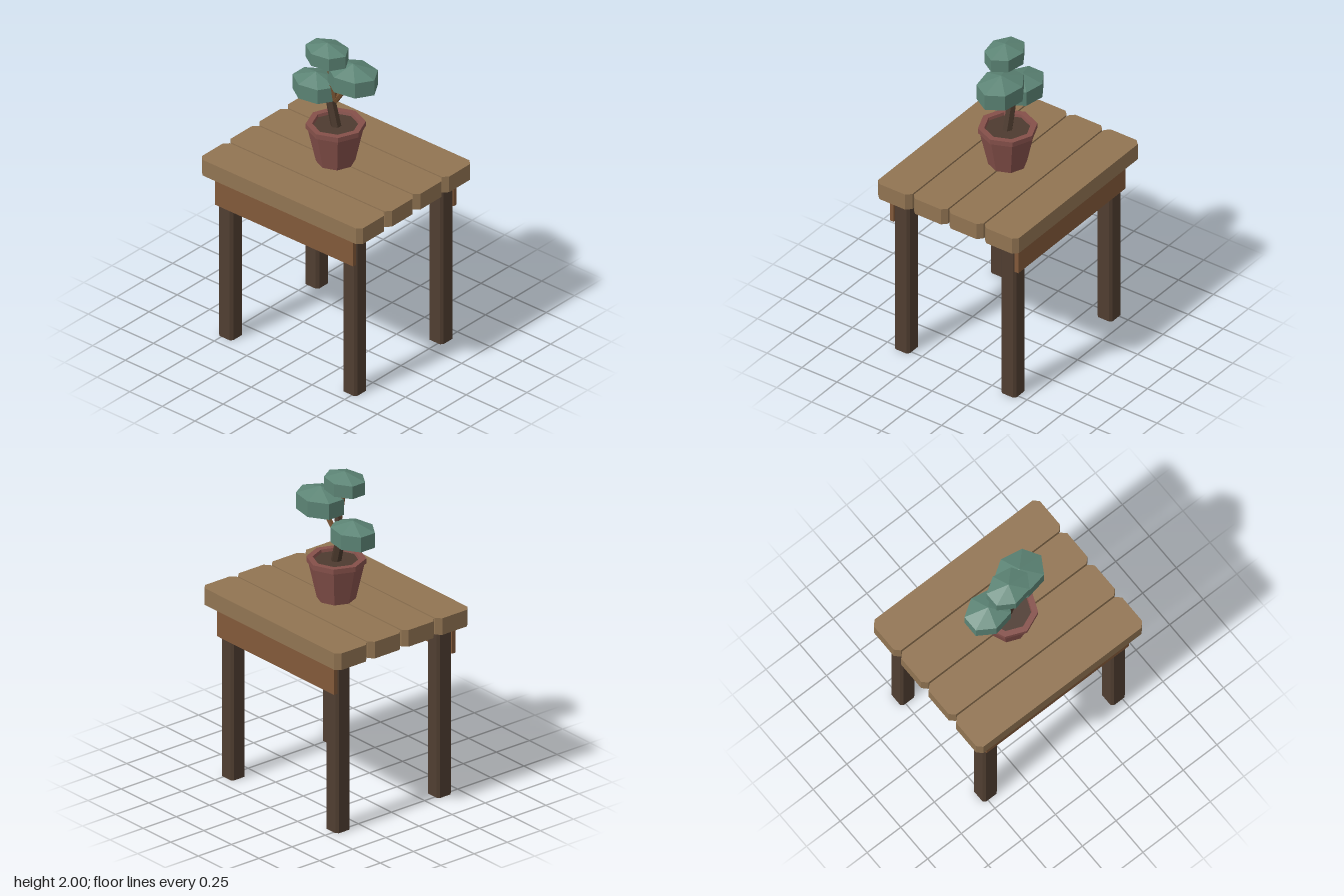
import * as THREE from 'three';

const mat = (color, side = THREE.FrontSide) =>
  new THREE.MeshStandardMaterial({ color, flatShading: true, side });

const plankMat = mat(0x917452);
const apronMat = mat(0x82593a);
const legMat = mat(0x503e31);
const potMat = mat(0x85504a);
const soilMat = mat(0x4e3b30);
const trunkMat = mat(0x4a382c);
const branchMat = mat(0x75502f);
const leafMat = mat(0x5c8475);

function add(parent, name, geometry, material, x = 0, y = 0, z = 0) {
  const mesh = new THREE.Mesh(geometry, material);
  mesh.name = name;
  mesh.position.set(x, y, z);
  parent.add(mesh);
  return mesh;
}

// Upright block with its four vertical edges cut off; base at y = 0
function chamferedBlock(width, height, depth, cut) {
  const w = width / 2, d = depth / 2;
  const shape = new THREE.Shape([
    [-w + cut, -d], [w - cut, -d], [w, -d + cut], [w, d - cut],
    [w - cut, d], [-w + cut, d], [-w, d - cut], [-w, -d + cut],
  ].map(([x, y]) => new THREE.Vector2(x, y)));
  return new THREE.ExtrudeGeometry(shape, { depth: height, bevelEnabled: false })
    .rotateX(-Math.PI / 2);
}

// Tapered six-sided limb between two points
function limb(parent, name, from, to, r0, r1, material) {
  const a = new THREE.Vector3(...from), b = new THREE.Vector3(...to);
  const dir = b.clone().sub(a);
  const mesh = add(parent, name, new THREE.CylinderGeometry(r1, r0, dir.length(), 6), material);
  mesh.position.copy(a).add(b).multiplyScalar(0.5);
  mesh.quaternion.setFromUnitVectors(new THREE.Vector3(0, 1, 0), dir.normalize());
}

function buildTable() {
  const table = new THREE.Group();
  table.name = 'table';

  // Four top planks with narrow gaps
  for (let i = 0; i < 4; i++) {
    add(table, 'plank', chamferedBlock(1.236, 0.106, 0.245, 0.03), plankMat,
      0, 1.09, -0.384 + i * 0.2545);
  }

  for (const sz of [-1, 1]) {
    // Apron boards fixed outside the legs
    add(table, 'apron', new THREE.BoxGeometry(1.06, 0.195, 0.026), apronMat,
      0, 0.9925, sz * 0.446);
    for (const sx of [-1, 1]) {
      add(table, 'leg', chamferedBlock(0.108, 1.09, 0.108, 0.015), legMat,
        sx * 0.476, 0, sz * 0.382);
    }
  }
  return table;
}

function buildPlant() {
  const plant = new THREE.Group();
  plant.name = 'pottedTree';

  // Octagonal pot with a lip and a hollow top
  const profile = [
    [0, 1.196], [0.115, 1.196], [0.165, 1.42], [0.175, 1.42],
    [0.175, 1.452], [0.138, 1.452], [0.13, 1.42],
  ].map(([x, y]) => new THREE.Vector2(x, y));
  add(plant, 'pot', new THREE.LatheGeometry(profile, 8), potMat);
  add(plant, 'soil', new THREE.CylinderGeometry(0.134, 0.13, 0.02, 8), soilMat, 0, 1.424, 0);

  // Bent trunk and branches
  limb(plant, 'trunk', [0.005, 1.42, 0], [-0.045, 1.61, 0], 0.032, 0.029, trunkMat);
  limb(plant, 'upperTrunk', [-0.045, 1.59, 0], [0.0, 1.76, 0], 0.026, 0.02, trunkMat);
  limb(plant, 'topBranch', [-0.005, 1.61, 0], [-0.03, 1.88, 0.035], 0.02, 0.013, branchMat);
  limb(plant, 'rightBranch', [-0.005, 1.6, 0], [0.1, 1.76, -0.03], 0.019, 0.014, branchMat);
  limb(plant, 'lowBranch', [-0.035, 1.57, 0], [-0.14, 1.65, 0], 0.018, 0.014, branchMat);

  // Seven-sided leaf clusters: centre, then ring radii in x and z and half height
  const clusters = [
    ['topLeaves', -0.03, 1.92, 0.04, 0.14, 0.08, 0.11],
    ['sideLeaves', 0.107, 1.78, -0.03, 0.163, 0.1, 0.131],
    ['lowLeaves', -0.15, 1.645, 0.002, 0.15, 0.094, 0.121],
  ];
  const ring = Math.sin(Math.PI / 3);
  for (const [name, x, y, z, rx, ry, rz] of clusters) {
    const geo = new THREE.SphereGeometry(1, 7, 3, Math.PI).scale(rx / ring, ry, rz / ring);
    add(plant, name, geo, leafMat, x, y, z);
  }
  return plant;
}

export function createModel() {
  const model = new THREE.Group();
  model.name = 'tableWithPottedTree';
  model.add(buildTable(), buildPlant());
  return model;
}
